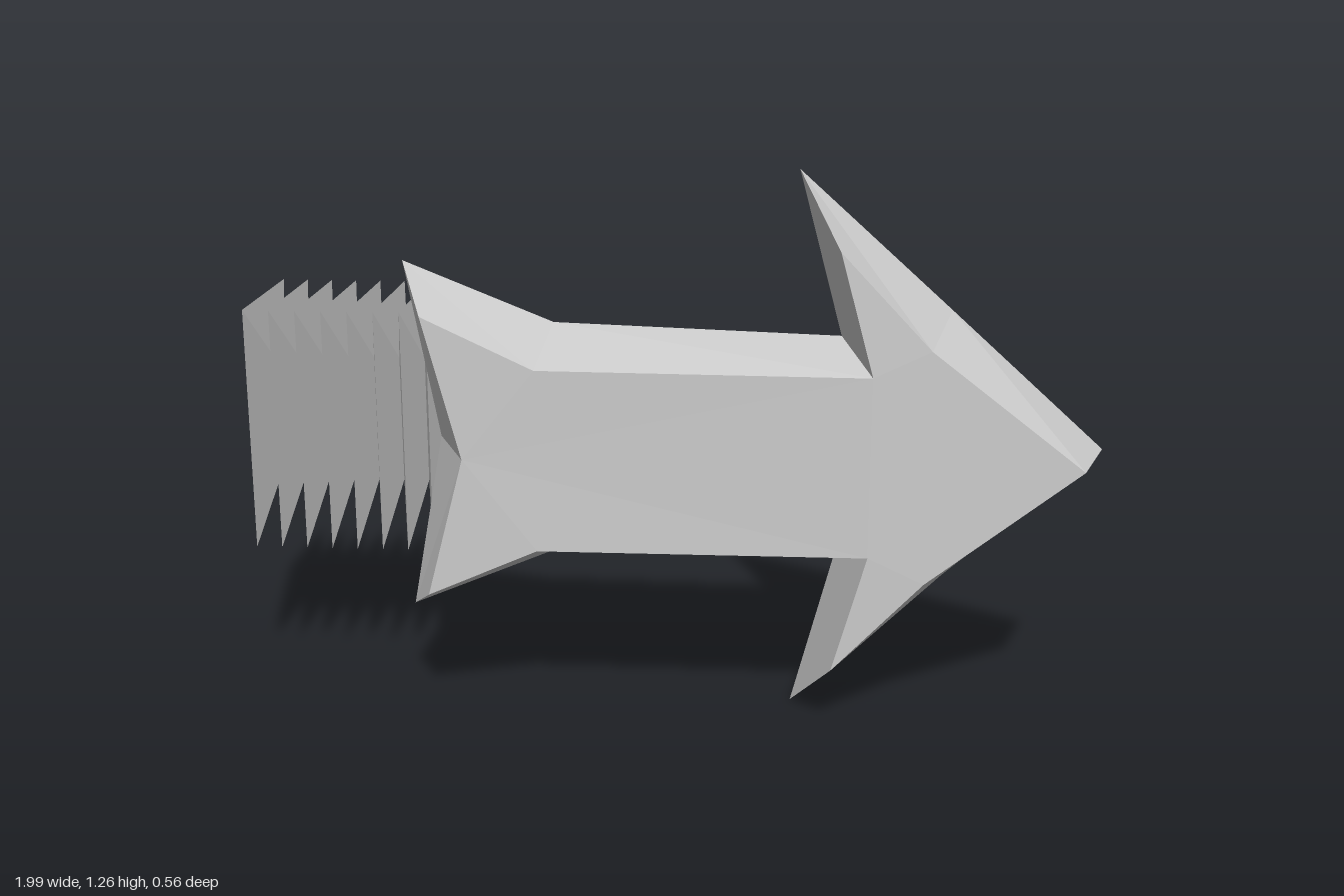
import * as THREE from 'three';

const material = new THREE.MeshStandardMaterial({ color: 0xcccccc, flatShading: true, side: THREE.DoubleSide });
const MID = 0.632; // height of the arrow's axis of symmetry

function makeMesh(name, points, index) {
  const geometry = new THREE.BufferGeometry().setFromPoints(points);
  geometry.setIndex(index);
  const flat = geometry.toNonIndexed();
  flat.computeVertexNormals();
  const mesh = new THREE.Mesh(flat, material);
  mesh.name = name;
  return mesh;
}

// Mirrors the upper half outline (tip to tail notch) into a closed loop.
function mirrorLoop(half) {
  const upper = half.map(([x, y, z]) => new THREE.Vector3(x, MID + y, z));
  const lower = half.slice(1, -1).reverse().map(([x, y, z]) => new THREE.Vector3(x, MID - y, z));
  return [...upper, ...lower];
}

// Arrow shell: smaller front face, walls flaring to an open back rim.
function arrow() {
  const front = mirrorLoop([
    [0.93, 0, 0.267], [0.59, 0.265, 0.275], [0.39, 0.477, 0.273], [0.465, 0.205, 0.278],
    [-0.27, 0.208, 0.276], [-0.52, 0.322, 0.267], [-0.435, 0, 0.271],
  ]);
  const rim = mirrorLoop([
    [0.992, 0, 0.082], [0.645, 0.314, 0.077], [0.30, 0.628, 0.1], [0.40, 0.252, 0.081],
    [-0.25, 0.272, 0.077], [-0.59, 0.412, 0.09], [-0.515, 0, 0.084],
  ]);
  const face = THREE.ShapeUtils.triangulateShape(front.map(p => new THREE.Vector2(p.x, p.y)), []);
  const n = front.length;
  const walls = [];
  for (let i = 0; i < n; i++) {
    const j = (i + 1) % n;
    walls.push(i, n + i, n + j, i, n + j, j);
  }
  const group = new THREE.Group();
  group.name = 'arrow';
  group.add(makeMesh('arrowFace', front, face.flat()));
  group.add(makeMesh('arrowWalls', [...front, ...rim], walls));
  return group;
}

// Pleated bellows: front and top strips zigzag between a ridge and a valley section.
function bellows() {
  const ridge = [[0.345, 0.075], [0.92, 0.075], [0.92, -0.28]]; // y, z
  const valley = [[0.48, -0.05], [0.782, -0.05], [0.782, -0.15]];
  const steps = 16;
  const points = [];
  const index = [];
  for (let r = 0; r <= steps; r++) {
    for (const [y, z] of r % 2 ? ridge : valley) points.push(new THREE.Vector3(-1 + r * 0.0303, y, z));
    if (r === steps) break;
    for (let c = 0; c < 2; c++) {
      const a = r * 3 + c;
      index.push(a, a + 3, a + 4, a, a + 4, a + 1);
    }
  }
  return makeMesh('bellows', points, index);
}

export function createModel() {
  const model = new THREE.Group();
  model.name = 'arrowWithBellows';
  model.add(arrow(), bellows());
  return model;
}
